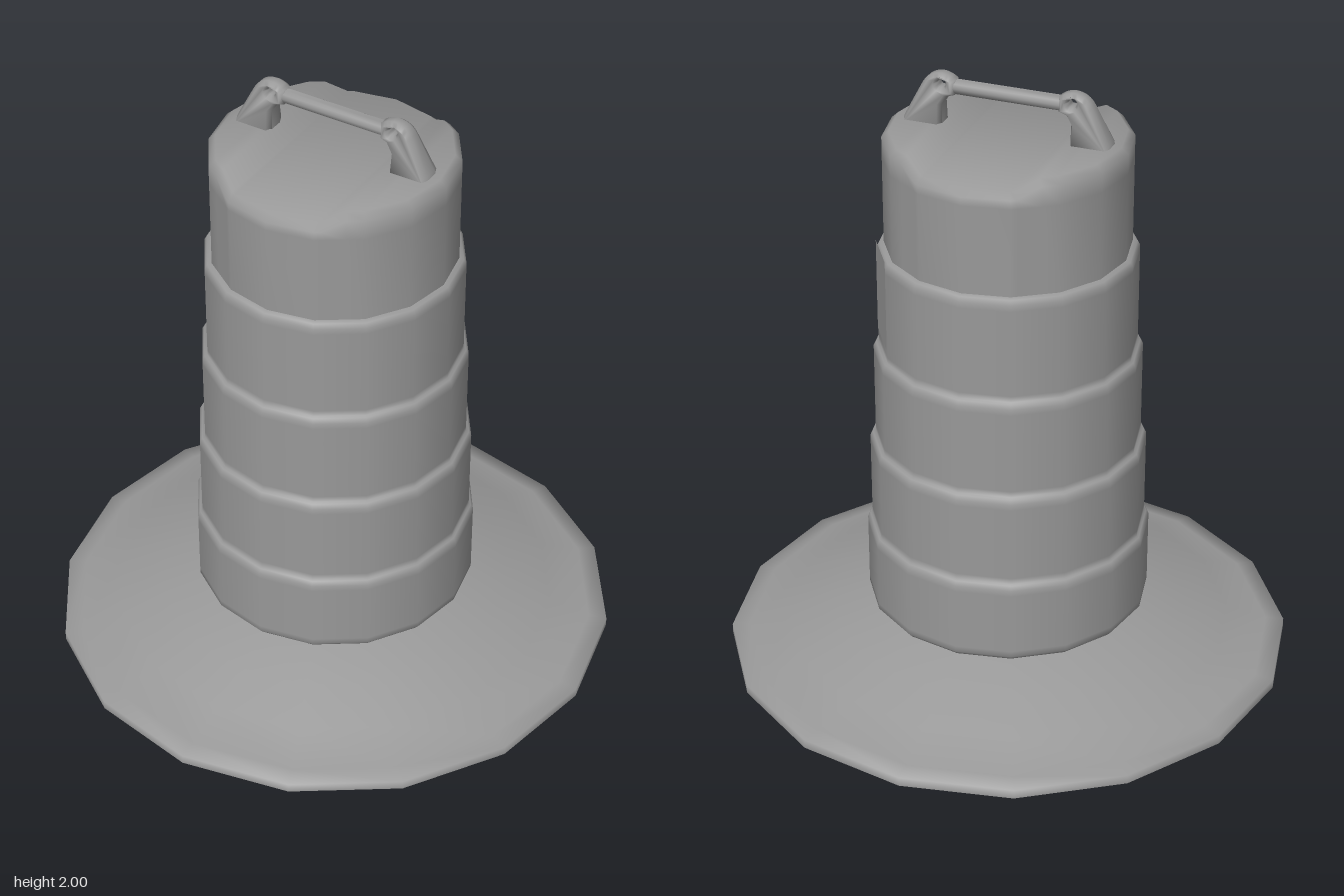
import * as THREE from 'three';
import { toCreasedNormals } from 'three/addons/utils/BufferGeometryUtils.js';

const SIDES = 16;
const STEP = (Math.PI * 2) / SIDES;
const material = new THREE.MeshStandardMaterial({ color: 0x999999 });

// Soft shading everywhere except at right-angled edges
function addPart(group, name, geometry) {
  const mesh = new THREE.Mesh(toCreasedNormals(geometry, 1.52), material);
  mesh.name = name;
  group.add(mesh);
  return mesh;
}

const lathe = (points) =>
  new THREE.LatheGeometry(points.map(([r, y]) => new THREE.Vector2(r, y)), SIDES);

// Top section: strips across x that follow the sixteen-sided outline, with a shallow trough along z
function topGeometry() {
  const R = 0.368, grow = 0.39 / R;
  const corners = [];
  for (let i = 0; i <= SIDES / 2; i++) {
    corners.push([-R * Math.cos(i * STEP), R * Math.sin(i * STEP)]);
  }
  const halfDepth = (x) => {
    for (let i = 1; i < corners.length; i++) {
      const [x0, z0] = corners[i - 1], [x1, z1] = corners[i];
      if (x <= x1) return z0 + ((z1 - z0) * (x - x0)) / (x1 - x0);
    }
    return 0;
  };
  const xs = [...corners.map((c) => c[0]), -0.215, -0.155, 0.155, 0.215].sort((a, b) => a - b);
  const positions = [], index = [];
  xs.forEach((x, i) => {
    const z = Math.max(0, halfDepth(x));
    const t = THREE.MathUtils.clamp((Math.abs(x) - 0.155) / 0.06, 0, 1);
    const y = 1.803 + 0.037 * t;
    // Half section from the foot of the wall to the lid edge, then mirrored
    const half = [[grow, 1.463], [grow, 1.755], [grow, y - 0.02], [1, y]];
    half.forEach(([s, h]) => positions.push(x * s, h, z * s));
    half.reverse().forEach(([s, h]) => positions.push(x * s, h, -z * s));
    if (i === 0) return;
    for (let j = 0; j < 7; j++) {
      const a = (i - 1) * 8 + j, b = i * 8 + j;
      index.push(a, b, a + 1, b, b + 1, a + 1);
    }
  });
  const geometry = new THREE.BufferGeometry();
  geometry.setAttribute('position', new THREE.Float32BufferAttribute(positions, 3));
  geometry.setIndex(index);
  return geometry;
}

// Handle post: drilled side outline with chamfered edges, thinner toward the top
function postGeometry() {
  const shape = new THREE.Shape();
  shape.moveTo(0.21, 1.82);
  shape.lineTo(0.345, 1.82);
  shape.lineTo(0.335, 1.85);
  shape.lineTo(0.277, 1.962);
  shape.quadraticCurveTo(0.257, 2.0, 0.212, 2.0);
  shape.quadraticCurveTo(0.192, 1.998, 0.17, 1.982);
  shape.lineTo(0.17, 1.935);
  shape.lineTo(0.195, 1.927);
  shape.lineTo(0.212, 1.9);
  shape.closePath();
  const hole = new THREE.Path();
  hole.absarc(0.214, 1.967, 0.014, 0, Math.PI * 2, true);
  shape.holes.push(hole);
  const geometry = new THREE.ExtrudeGeometry(shape, {
    depth: 1, bevelThickness: 0.5, bevelSize: 0.01, bevelOffset: -0.01, bevelSegments: 1, curveSegments: 6
  });
  const p = geometry.attributes.position;
  for (let i = 0; i < p.count; i++) {
    const half = THREE.MathUtils.mapLinear(p.getY(i), 1.84, 2.0, 0.045, 0.027);
    p.setZ(i, (p.getZ(i) - 0.5) * half);
  }
  return geometry;
}

export function createModel() {
  const model = new THREE.Group();
  model.name = 'trafficDrum';

  // Wide weighted base
  addPart(model, 'base', lathe([
    [0, 0], [0.93, 0], [0.93, 0.03], [0.87, 0.037], [0.735, 0.087],
    [0.59, 0.143], [0.44, 0.19], [0.4, 0.2]
  ]));

  // Stepped barrel: each band is narrower than the one below
  const profile = [[0.42, 0.185], [0.45, 0.19], [0.463, 0.205], [0.463, 0.225]];
  const bands = [[0.463, 0.47], [0.448, 0.78], [0.43, 1.11], [0.413, 1.46]];
  bands.forEach(([r, top], i) => {
    if (i > 0) {
      const foot = bands[i - 1][1] + 0.003;
      profile.push([r, foot], [r, foot + 0.02]);
    }
    profile.push([r, top - 0.035], [r, top - 0.015], [r - 0.008, top]);
  });
  profile.push([0.388, 1.464]);
  addPart(model, 'barrel', lathe(profile));
  addPart(model, 'topSection', topGeometry());

  // Flat plate on one facet of the upper band
  const angle = 1.5 * STEP;
  const plate = addPart(model, 'plate', new THREE.PlaneGeometry(0.16, 0.31));
  const reach = 0.413 * Math.cos(STEP / 2) + 0.002;
  plate.position.set(reach * Math.cos(angle), 1.313, -reach * Math.sin(angle));
  plate.rotation.y = angle + Math.PI / 2;

  // Carrying handle
  const handle = new THREE.Group();
  handle.name = 'handle';
  for (const side of [1, -1]) {
    const post = addPart(handle, side > 0 ? 'leftPost' : 'rightPost', postGeometry());
    if (side < 0) post.rotation.y = Math.PI;
  }
  const bar = new THREE.CylinderGeometry(0.024, 0.024, 0.36, 10).rotateZ(Math.PI / 2);
  addPart(handle, 'gripBar', bar).position.y = 1.957;
  model.add(handle);

  return model;
}
